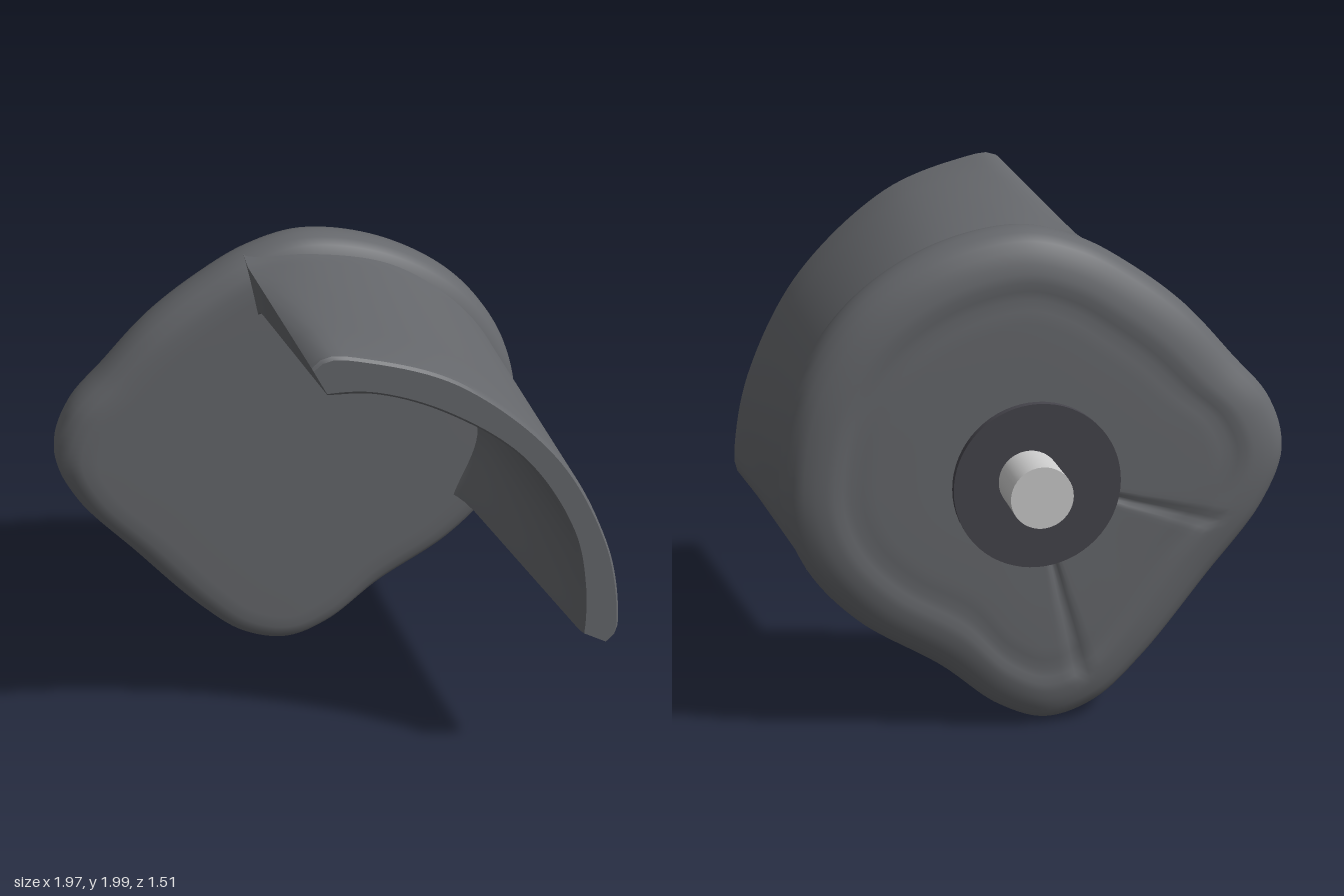
import * as THREE from 'three';
import { toCreasedNormals } from 'three/addons/utils/BufferGeometryUtils.js';

const CX = 0, CY = 1; // hub of the plate

// Smooth curve through [x, y] points, sampled evenly
function sample(points, n, closed = false) {
  const curve = new THREE.CatmullRomCurve3(points.map(([x, y]) => new THREE.Vector3(x, y, 0)), closed);
  const out = curve.getSpacedPoints(n);
  if (closed) out.pop();
  return out;
}

// Skin closed rings (counter-clockwise from the front), ordered front to back
function loft(rings) {
  const n = rings[0].length, index = [];
  for (let i = 0; i < rings.length - 1; i++) {
    for (let j = 0; j < n; j++) {
      const k = (j + 1) % n;
      const a = i * n + j, b = a + n, c = (i + 1) * n + k, d = i * n + k;
      index.push(a, b, c, a, c, d);
    }
  }
  const geometry = new THREE.BufferGeometry();
  geometry.setAttribute('position', new THREE.Float32BufferAttribute(rings.flat().flatMap(v => [v.x, v.y, v.z]), 3));
  geometry.setIndex(index);
  geometry.computeVertexNormals();
  return geometry;
}

function plateGeometry() {
  const outline = sample([
    [0.89, 1.0], [0.82, 1.35], [0.63, 1.63], [0.34, 1.82], [0.02, 1.89], [-0.2, 1.84], [-0.4, 1.73],
    [-0.6, 1.58], [-0.78, 1.39], [-0.93, 1.22], [-0.99, 1.03], [-0.92, 0.82], [-0.7, 0.53], [-0.45, 0.22],
    [-0.27, 0.06], [-0.08, 0.005], [0.1, 0.07], [0.32, 0.25], [0.62, 0.45], [0.79, 0.64], [0.87, 0.82],
  ], 180, true);
  // Rounded edge profile: [inset, z]
  const profile = [
    [1, -0.26], [0.5, -0.26], [0.16, -0.26], [0.1, -0.263], [0.055, -0.275], [0.02, -0.305], [0.004, -0.34],
    [0, -0.38], [0.003, -0.42], [0.015, -0.455], [0.04, -0.487], [0.075, -0.508], [0.115, -0.52], [0.15, -0.528],
    [0.18, -0.53], [0.21, -0.525], [0.24, -0.522], [0.28, -0.526], [0.33, -0.53], [0.5, -0.53], [0.7, -0.53], [1, -0.53],
  ];
  const creases = [3.45, 4.47];
  return loft(profile.map(([inset, z], row) => outline.map(p => {
    const dx = p.x - CX, dy = p.y - CY, length = Math.hypot(dx, dy);
    const s = inset === 1 ? 0 : 1 - inset / length;
    let depth = z;
    // Two shallow radial creases on the back
    if (row > 13 && s > 0) {
      const angle = (Math.atan2(dy, dx) + 2 * Math.PI) % (2 * Math.PI);
      for (const c of creases) depth += 0.012 * Math.exp(-(((angle - c) / 0.035) ** 2));
    }
    return new THREE.Vector3(CX + dx * s, CY + dy * s, depth);
  })));
}

function wallGeometry() {
  const N = 48;
  // Arcs run from the lower right end up to the top end
  const outerBack = sample([[0.8, 0.64], [0.85, 0.97], [0.79, 1.29], [0.62, 1.56], [0.34, 1.77], [0.02, 1.845], [-0.22, 1.83]], N);
  const innerBack = sample([[0.65, 0.69], [0.73, 1.0], [0.62, 1.33], [0.36, 1.59], [0.05, 1.7], [-0.19, 1.66]], N);
  const outerFront = sample([[0.95, 0.67], [0.982, 0.71], [0.975, 0.86], [0.907, 1.127], [0.695, 1.52], [0.325, 1.857],
    [0.02, 1.975], [-0.12, 1.997], [-0.165, 1.96]], N);
  const innerFront = sample([[0.84, 0.735], [0.825, 0.95], [0.765, 1.2], [0.56, 1.53], [0.28, 1.74], [0.05, 1.835], [-0.11, 1.85]], N);
  const section = (z, shrink, fillet = 0) => {
    const t = (z + 0.25) / 1.0;
    const outer = [], inner = [];
    for (let i = 0; i <= N; i++) {
      const o = outerBack[i].clone().lerp(outerFront[i], Math.max(t, 0));
      const q = innerBack[i].clone().lerp(innerFront[i], Math.max(t, 0));
      const mid = o.clone().lerp(q, 0.5);
      o.lerp(mid, shrink);
      q.lerp(mid, shrink - fillet);
      o.z = q.z = z;
      outer.push(o);
      inner.push(q);
    }
    return [...outer, ...inner.reverse()];
  };
  const rings = [
    section(0.75, 1), section(0.75, 0.2), section(0.74, 0.05), section(0.72, 0),
    ...[0.5, 0.25, 0, -0.13].map(z => section(z, 0)),
    section(-0.2, 0, 0.08), section(-0.24, 0, 0.25), section(-0.265, 0, 0.5), section(-0.36, 0, 0.5),
  ];
  return toCreasedNormals(loft(rings), 0.6);
}

export function createModel() {
  const group = new THREE.Group();
  const add = (name, geometry, color) => {
    const mesh = new THREE.Mesh(geometry, new THREE.MeshStandardMaterial({ color }));
    mesh.name = name;
    group.add(mesh);
    return mesh;
  };

  // Rounded plate with the curved guard wall on its upper left
  add('plate', plateGeometry(), 0x66686c);
  add('guardWall', wallGeometry(), 0x66686c);

  // Washer and shaft on the back
  const washer = add('washer', new THREE.CylinderGeometry(0.307, 0.307, 0.06, 64), 0x45444b);
  washer.rotation.x = Math.PI / 2;
  washer.position.set(-0.016, 0.975, -0.53);
  const shaft = add('shaft', new THREE.CylinderGeometry(0.112, 0.112, 0.25, 40), 0xcccccc);
  shaft.rotation.x = Math.PI / 2;
  shaft.position.set(0.016, 1.0, -0.635);

  return group;
}
